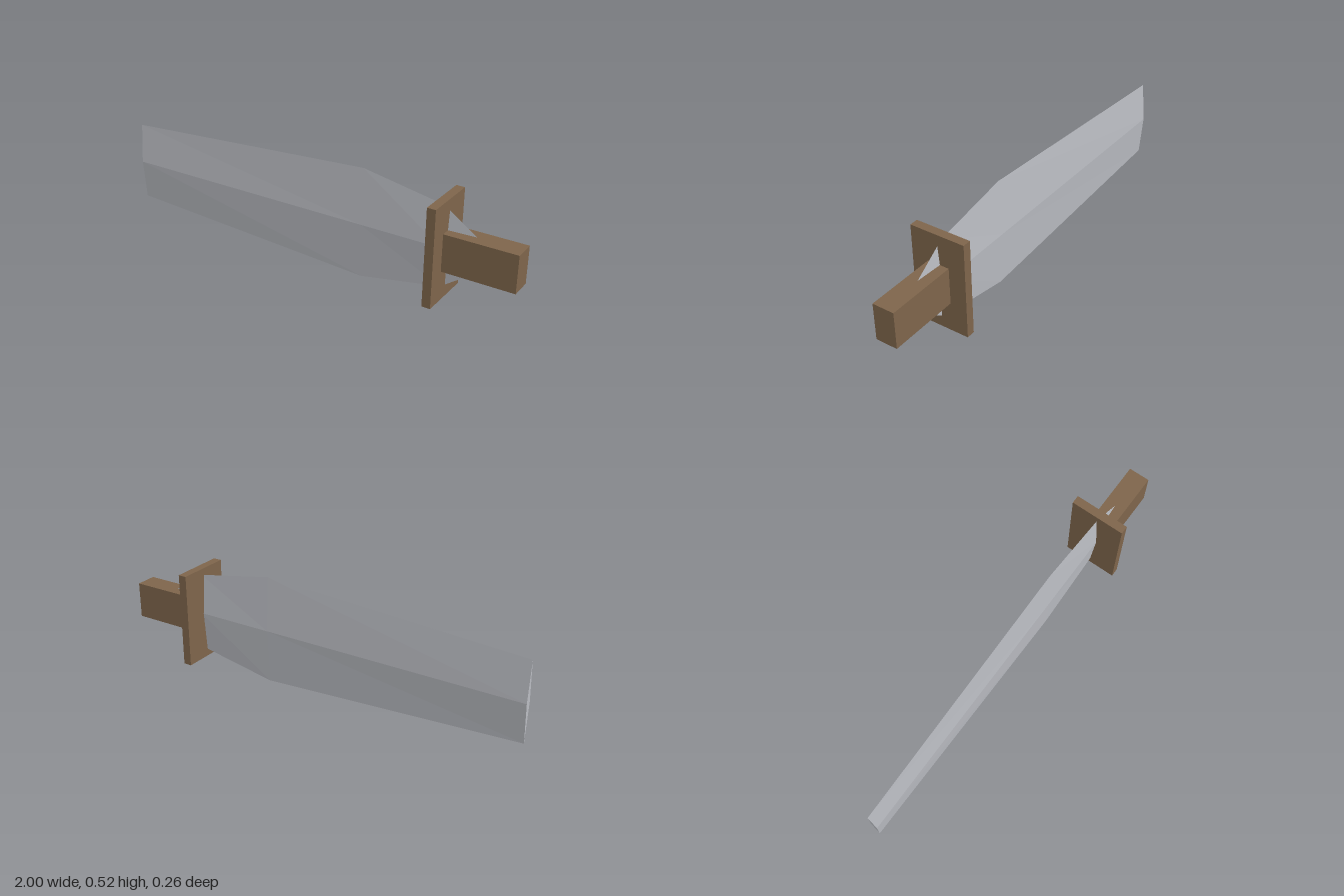
import * as THREE from 'three';

const steel = new THREE.MeshStandardMaterial({ color: 0xbabcc2 });
steel.name = 'steel grey';
const wood = new THREE.MeshStandardMaterial({ color: 0x7e654b });
wood.name = 'wood brown';

const MID = 0.265; // height of the blade ridge

// Diamond cross-sections along x: [x, half height, half thickness]
function bladeGeometry(sections) {
  const ring = ([x, h, t]) => [
    [x, MID + h, 0], [x, MID, t], [x, MID - h, 0], [x, MID, -t],
  ];
  const rings = sections.map(ring);
  const points = [];
  const quad = (a, b, c, d) => points.push(...a, ...b, ...c, ...a, ...c, ...d);
  for (let i = 0; i < rings.length - 1; i++) {
    for (let j = 0; j < 4; j++) {
      const k = (j + 1) % 4;
      quad(rings[i][j], rings[i][k], rings[i + 1][k], rings[i + 1][j]);
    }
  }
  // Blunt far end
  const [top, front, bottom, back] = rings[0];
  quad(top, back, bottom, front);
  const geometry = new THREE.BufferGeometry();
  geometry.setAttribute('position', new THREE.Float32BufferAttribute(points, 3));
  geometry.computeVertexNormals();
  return geometry;
}

function box(name, min, max) {
  const size = max.map((v, i) => v - min[i]);
  const mesh = new THREE.Mesh(new THREE.BoxGeometry(...size), wood);
  mesh.position.set(...max.map((v, i) => (v + min[i]) / 2));
  mesh.name = name;
  return mesh;
}

export function createModel() {
  const group = new THREE.Group();
  group.name = 'sword';

  // Wide blade, its tapered tang running through the guard into the handle
  const blade = new THREE.Mesh(bladeGeometry([
    [-1, 0.19, 0.016],
    [0.26, 0.261, 0.016],
    [0.645, 0.19, 0.016],
    [0.92, 0.001, 0.001],
  ]), steel);
  blade.name = 'blade';
  group.add(blade);

  group.add(box('guard', [0.63, 0.037, -0.131], [0.67, 0.491, 0.131]));
  group.add(box('handle', [0.66, 0.177, -0.051], [1, 0.35, 0.051]));

  // Rest the lowest edge on the ground
  for (const part of group.children) part.position.y -= 0.004;
  return group;
}
